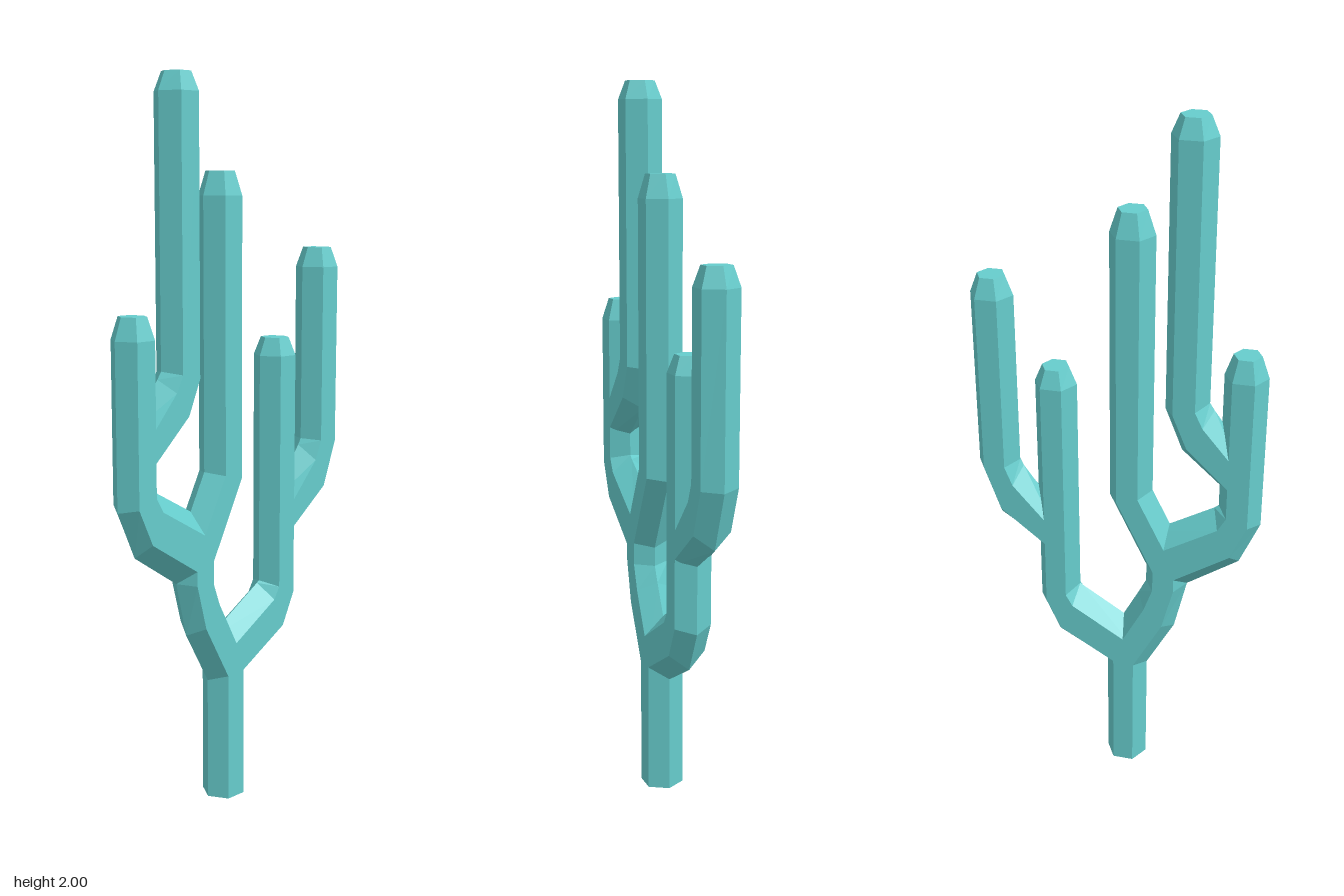
import * as THREE from 'three';

const DEPTH = 0.053;

// Six corners of a ring whose side corners are (xl, yl) and (xr, yr), left and right of the travel direction
function hexRing([xl, yl, xr, yr], depth = DEPTH) {
  return [[0, 0], [0.25, 1], [0.75, 1], [1, 0], [0.75, -1], [0.25, -1]].map(([t, z]) =>
    [xl + (xr - xl) * t, yl + (yr - yl) * t, z * depth]);
}

// Skin a hexagonal limb through its mitred rings; tipY adds a tapered, flat-topped end
function limb(name, sections, material, tipY) {
  const rings = sections.map((s) => hexRing(s));
  if (tipY) {
    const [xl, , xr] = sections[sections.length - 1];
    const c = (xl + xr) / 2, r = (xr - xl) * 0.32;
    rings.push(hexRing([c - r, tipY, c + r, tipY], 0.036));
  }
  const pos = [];
  const tri = (a, b, c) => pos.push(...a, ...b, ...c);
  for (let k = 0; k < rings.length - 1; k++) {
    const a = rings[k], b = rings[k + 1];
    for (let i = 0; i < 6; i++) {
      const j = (i + 1) % 6;
      tri(a[i], a[j], b[j]);
      tri(a[i], b[j], b[i]);
    }
  }
  // End faces
  const first = rings[0], last = rings[rings.length - 1];
  for (let i = 1; i < 5; i++) {
    tri(first[0], first[i + 1], first[i]);
    tri(last[0], last[i], last[i + 1]);
  }
  const geometry = new THREE.BufferGeometry();
  geometry.setAttribute('position', new THREE.Float32BufferAttribute(pos, 3));
  geometry.computeVertexNormals();
  const mesh = new THREE.Mesh(geometry, material);
  mesh.name = name;
  return mesh;
}

export function createModel() {
  const group = new THREE.Group();
  group.name = 'branchingCoral';
  const teal = new THREE.MeshStandardMaterial({ color: 0x66cccc, flatShading: true });
  teal.name = 'teal';

  // Trunk bending left, then rising into the middle branch
  group.add(limb('trunkAndMiddleBranch', [
    [-0.09, 0, 0.03, 0],
    [-0.09, 0.35, 0.03, 0.42],
    [-0.17, 0.5, -0.063, 0.6],
    [-0.205, 0.655, -0.085, 0.645],
    [-0.205, 0.74, -0.085, 0.7],
    [-0.1, 0.95, 0.022, 0.92],
    [-0.1, 1.69, 0.022, 1.69],
  ], teal, 1.755));

  // Short outer branch on the -x side
  group.add(limb('rightOuterBranch', [
    [-0.205, 0.655, -0.085, 0.81],
    [-0.35, 0.755, -0.275, 0.92],
    [-0.405, 0.885, -0.287, 0.93],
    [-0.405, 1.33, -0.287, 1.33],
  ], teal, 1.39));

  // Tallest branch, growing from the outer one
  group.add(limb('tallBranch', [
    [-0.36, 1.09, -0.36, 0.93],
    [-0.265, 1.22, -0.18, 1.09],
    [-0.252, 1.24, -0.132, 1.21],
    [-0.252, 1.95, -0.132, 1.95],
  ], teal, 2));

  // Inner branch on the +x side
  group.add(limb('leftInnerBranch', [
    [-0.09, 0.47, 0.03, 0.34],
    [0.105, 0.594, 0.177, 0.425],
    [0.113, 0.6, 0.231, 0.545],
    [0.113, 1.25, 0.231, 1.25],
  ], teal, 1.3));

  // Outer branch on the +x side
  group.add(limb('leftOuterBranch', [
    [0.16, 0.82, 0.16, 0.69],
    [0.273, 0.977, 0.345, 0.815],
    [0.283, 0.995, 0.403, 0.98],
    [0.283, 1.49, 0.403, 1.49],
  ], teal, 1.545));

  return group;
}
